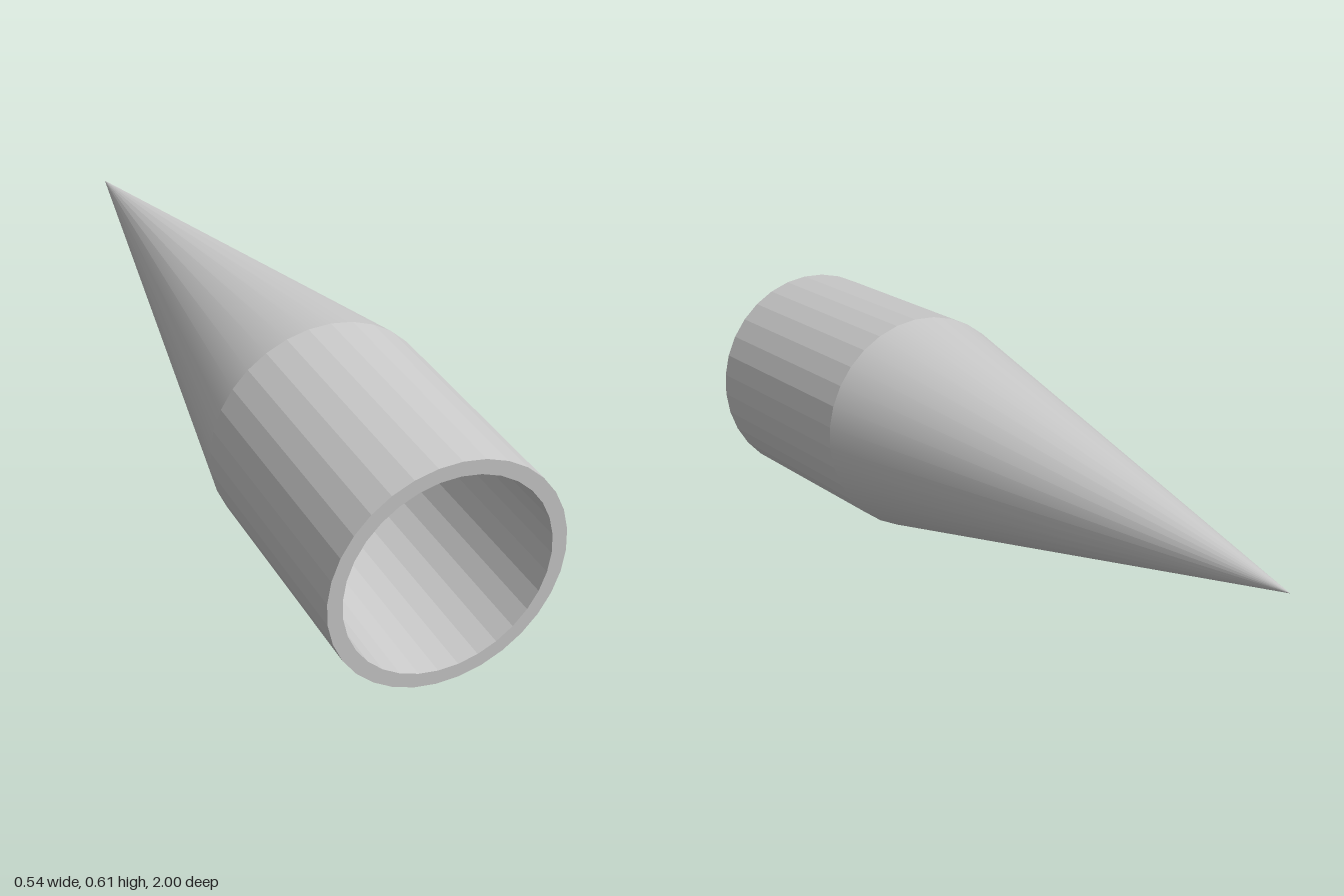
import * as THREE from 'three';

const SIDES = 32;
const OUTER = 0.271, INNER = 0.237; // tube radii
const SLEEVE = 0.584, LENGTH = 1.98; // sleeve end and tip, measured from the open rim
const TILT = 0.12, YAW = 0.004;

// Surface of revolution around y from [radius, height] pairs
function lathe(name, profile, flatShading) {
  const points = profile.map(([r, h]) => new THREE.Vector2(r, h));
  const material = new THREE.MeshStandardMaterial({ color: 0xcccccc, flatShading });
  const mesh = new THREE.Mesh(new THREE.LatheGeometry(points, SIDES), material);
  mesh.name = name;
  return mesh;
}

export function createModel() {
  const model = new THREE.Group();
  model.name = 'hollowSpike';

  // Faceted tube: inner wall, front rim, outer wall
  model.add(lathe('sleeve', [[INNER, SLEEVE], [INNER, 0], [OUTER, 0], [OUTER, SLEEVE]], true));
  // Smooth pointed end, with its hollow inside
  model.add(lathe('cone', [[OUTER, SLEEVE], [0, LENGTH]], false));
  model.add(lathe('coneInside', [[0, LENGTH - 0.005], [INNER, SLEEVE]], false));

  // Lay the axis back along -z with the tip raised
  model.rotation.set(TILT - Math.PI / 2, 0, YAW);
  model.position.set(0, 0.271, 0.967);

  const root = new THREE.Group();
  root.add(model);
  return root;
}
